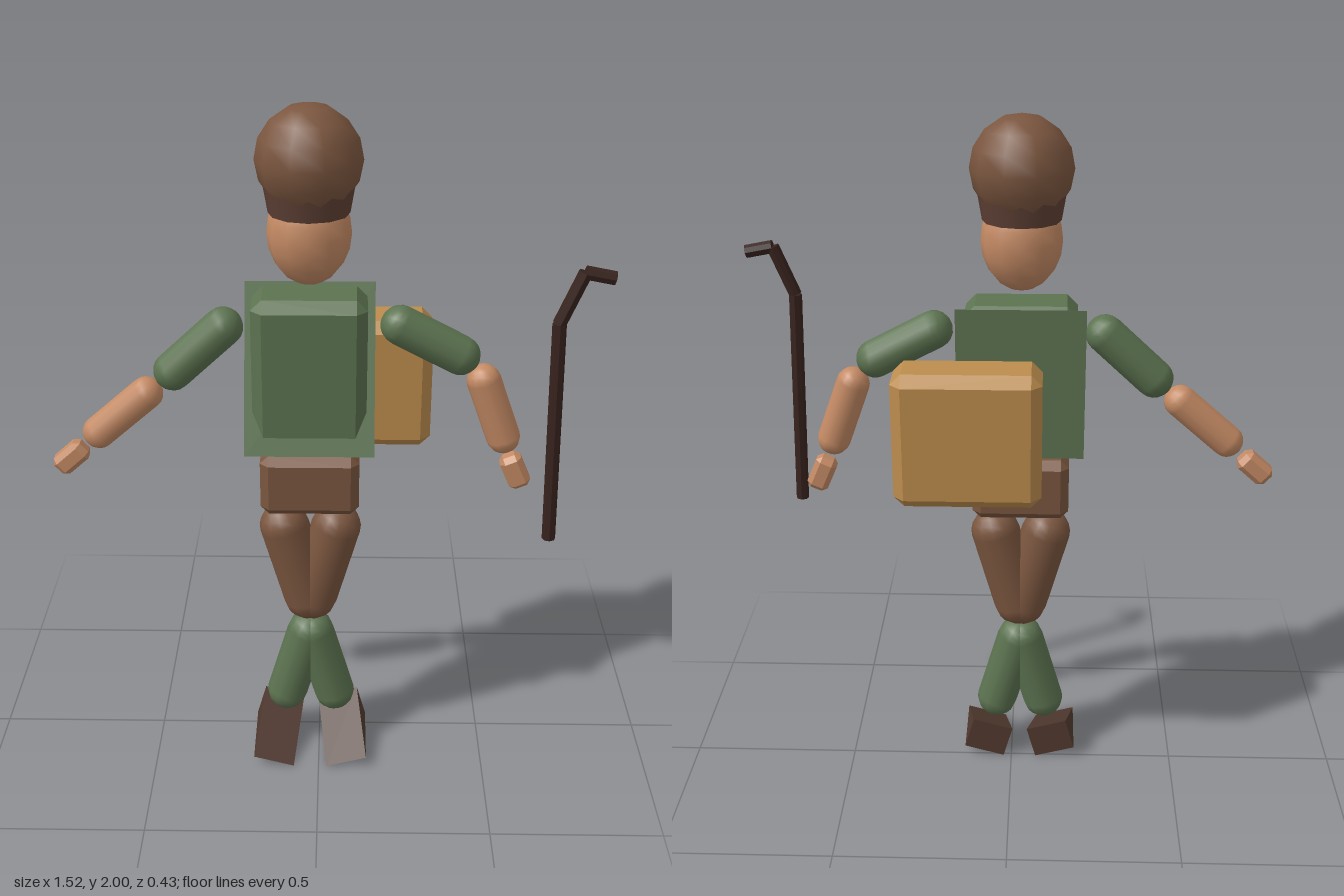
import * as THREE from 'three';
import { ConvexGeometry } from 'three/addons/geometries/ConvexGeometry.js';

const CX = -0.026, CZ = 0.06; // body axis
const mat = (color, flatShading = false) =>
  new THREE.MeshStandardMaterial({ color, flatShading });

const cloth = mat(0x5c7350), clothFlat = mat(0x5c7350, true);
const trouser = mat(0x7b563f), trouserFlat = mat(0x7b563f, true);
const skin = mat(0xc48a64), skinFlat = mat(0xc48a64, true);
const band = mat(0x5e4035), boot = mat(0x50392f, true);
const wood = mat(0x38231e, true), canvas = mat(0xbd8d4e, true);

export function createModel() {
  const model = new THREE.Group();
  model.name = 'walker';

  const add = (name, geometry, material, x = 0, y = 0, z = 0) => {
    const mesh = new THREE.Mesh(geometry, material);
    mesh.name = name;
    mesh.position.set(x, y, z);
    model.add(mesh);
    return mesh;
  };

  // Box with every edge chamfered by c
  const chamferBox = (w, h, d, c) => {
    const pts = [];
    for (const sx of [-1, 1]) for (const sy of [-1, 1]) for (const sz of [-1, 1]) {
      const x = w / 2, y = h / 2, z = d / 2;
      pts.push(
        new THREE.Vector3(sx * x, sy * (y - c), sz * (z - c)),
        new THREE.Vector3(sx * (x - c), sy * y, sz * (z - c)),
        new THREE.Vector3(sx * (x - c), sy * (y - c), sz * z));
    }
    return new ConvexGeometry(pts);
  };

  // Ramp: tall at the back, running down to nothing at the front
  const wedge = (w, h, d) => {
    const s = new THREE.Shape();
    s.moveTo(-d / 2, -h / 2);
    s.lineTo(d / 2, -h / 2);
    s.lineTo(-d / 2, h / 2);
    const g = new THREE.ExtrudeGeometry(s, { depth: w, bevelEnabled: false });
    return g.translate(0, 0, -w / 2).rotateY(-Math.PI / 2);
  };

  // Places a y-aligned part so that it runs between two points
  const UP = new THREE.Vector3(0, 1, 0);
  const span = (name, a, b, z, material, makeGeometry) => {
    const p = new THREE.Vector3(a[0], a[1], z), q = new THREE.Vector3(b[0], b[1], z);
    const dir = q.clone().sub(p), length = dir.length();
    const mesh = add(name, makeGeometry(length), material);
    mesh.position.copy(p).add(q).multiplyScalar(0.5);
    mesh.quaternion.setFromUnitVectors(UP, dir.normalize());
    return mesh;
  };
  const limb = (name, a, b, r, material) =>
    span(name, a, b, CZ, material, (l) => new THREE.CapsuleGeometry(r, l, 5, 12));

  // Head and cap
  add('head', new THREE.SphereGeometry(1, 12, 10).scale(0.113, 0.14, 0.104), skin, CX, 1.66, CZ);
  add('capBand', new THREE.CylinderGeometry(0.12, 0.108, 0.07, 12).scale(1, 1, 0.9), band, CX, 1.75, CZ);
  add('cap', new THREE.SphereGeometry(1, 10, 8).scale(0.142, 0.145, 0.138), trouser, CX, 1.855, CZ);

  // Torso, coat and hips
  add('chest', chamferBox(0.315, 0.44, 0.174, 0.03), clothFlat, CX, 1.27, 0.057);
  add('coat', wedge(0.36, 0.44, 0.198), clothFlat, CX, 1.27, 0.066);
  add('hips', chamferBox(0.28, 0.185, 0.165, 0.024), trouserFlat, CX, 0.935, CZ);

  // Legs, mirrored about the body axis
  for (const [side, s] of [['left', 1], ['right', -1]]) {
    limb(side + 'Thigh', [CX + s * 0.075, 0.77], [CX + s * 0.008, 0.53], 0.073, trouser);
    limb(side + 'Shin', [CX + s * 0.009, 0.4], [CX + s * 0.072, 0.18], 0.062, cloth);
    const foot = add(side + 'Boot', wedge(0.126, 0.104, 0.221), boot, CX + s * 0.097, 0.067, 0.102);
    foot.rotation.z = s * 0.27;
  }

  // Arms: shoulder, elbow, elbow, wrist, hand start, hand end
  const arms = {
    left: [[0.222, 1.4], [0.386, 1.314], [0.455, 1.238], [0.518, 1.065], [0.537, 1.005], [0.579, 0.909]],
    right: [[-0.262, 1.392], [-0.402, 1.262], [-0.482, 1.192], [-0.62, 1.072], [-0.667, 1.025], [-0.746, 0.955]],
  };
  for (const [side, p] of Object.entries(arms)) {
    limb(side + 'UpperArm', p[0], p[1], 0.056, cloth);
    limb(side + 'Forearm', p[2], p[3], 0.048, skin);
    span(side + 'Hand', p[4], p[5], 0.057, skinFlat, (l) => chamferBox(0.064, l, 0.058, 0.015));
  }

  // Pack on the back
  add('backpack', chamferBox(0.41, 0.39, 0.17, 0.03), canvas, 0.117, 1.163, -0.13);

  // Walking stick in three straight pieces
  const stick = [[0.648, 0.81], [0.628, 1.46], [0.684, 1.6], [0.761, 1.585]];
  for (let i = 0; i < 3; i++) {
    span('stick' + (i + 1), stick[i], stick[i + 1], 0.188, wood,
      (l) => new THREE.CylinderGeometry(0.019, 0.019, l, 8));
  }

  return model;
}
